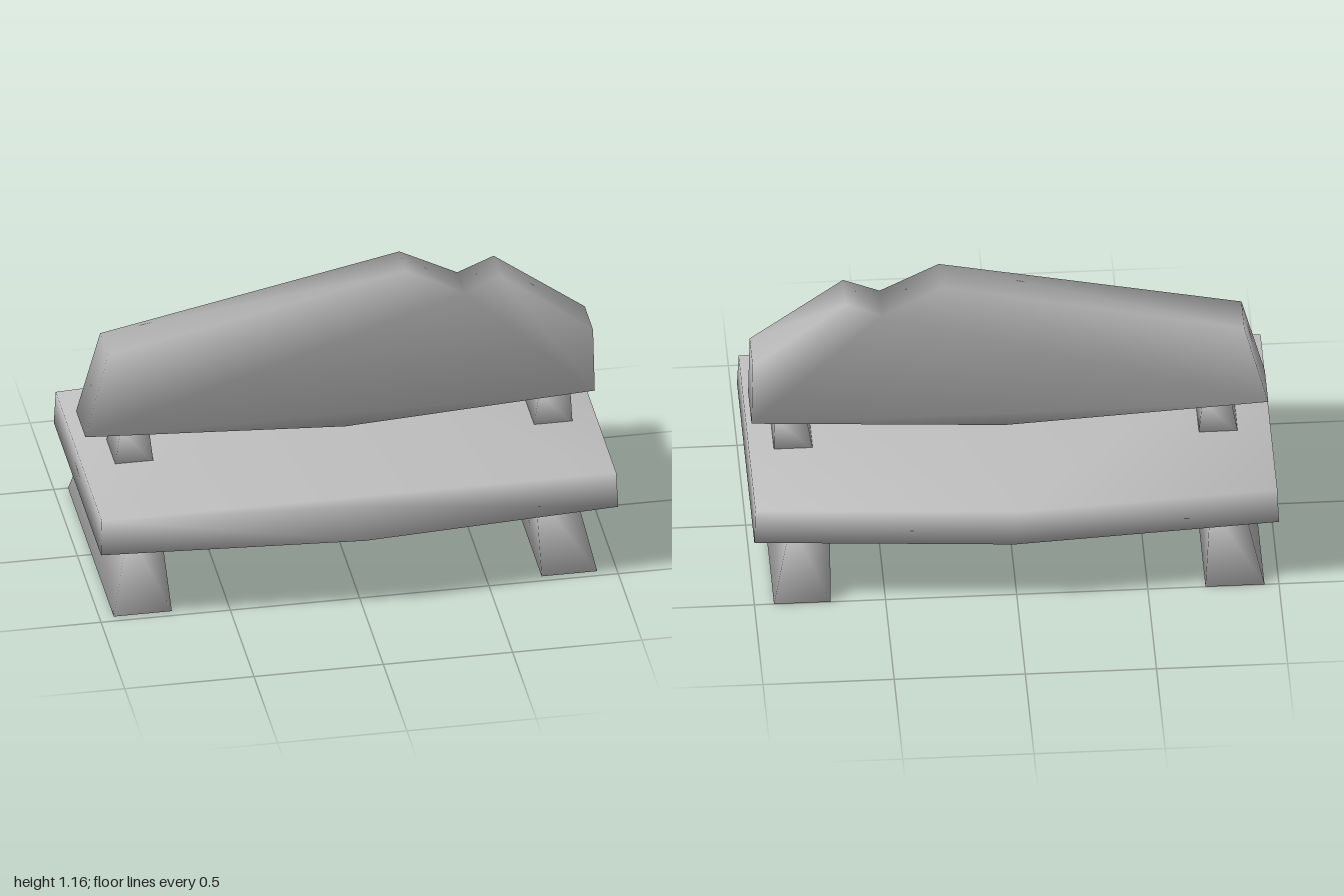
import * as THREE from 'three';
import { mergeVertices } from 'three/addons/utils/BufferGeometryUtils.js';

const stone = new THREE.MeshStandardMaterial({ color: 0xbfbfbf });
stone.name = 'grey stone';

// Extrudes an outline from 0 to 1, then moves every vertex by a rule;
// corners are shared so the shading rolls softly over the edges.
function softPrism(name, outline, rule) {
  const shape = new THREE.Shape(outline.map(([x, y]) => new THREE.Vector2(x, y)));
  let geo = new THREE.ExtrudeGeometry(shape, { depth: 1, bevelEnabled: false });
  geo.deleteAttribute('normal');
  geo.deleteAttribute('uv');
  geo = mergeVertices(geo);
  const p = geo.attributes.position;
  for (let i = 0; i < p.count; i++) p.setXYZ(i, ...rule(p.getX(i), p.getY(i), p.getZ(i)));
  geo.computeVertexNormals();
  const mesh = new THREE.Mesh(geo, stone);
  mesh.name = name;
  return mesh;
}

// Tapered block between two rectangles [x0, x1, z0, z1] at heights y0 and y1
function taperedBlock(name, y0, bottom, y1, top) {
  const mix = (i, j, u, t) => THREE.MathUtils.lerp(
    THREE.MathUtils.lerp(bottom[i], bottom[j], u),
    THREE.MathUtils.lerp(top[i], top[j], u), t);
  return softPrism(name, [[0, 0], [1, 0], [1, 1], [0, 1]],
    (u, v, t) => [mix(0, 1, u, t), y0 + (y1 - y0) * t, mix(2, 3, 1 - v, t)]);
}

export function createModel() {
  const bench = new THREE.Group();
  bench.name = 'stoneBench';

  // Seat: six-sided slab, slightly narrower at the top
  bench.add(softPrism('seat',
    [[-1, -0.5], [0.01, -0.575], [1, -0.5], [1, 0.5], [0.01, 0.575], [-1, 0.5]],
    (x, y, t) => [x * (1 - 0.005 * t), 0.297 + 0.143 * t, -y * (1 - 0.028 * t)]));

  // Backrest: broken slab outline that thins towards the top
  bench.add(softPrism('backrest',
    [[-0.985, 0.575], [0.02, 0.515], [0.985, 0.57], [0.98, 0.835], [0.625, 1.105],
      [0.485, 1.045], [0.26, 1.165], [-0.895, 0.92]],
    (x, y, t) => {
      const k = Math.max(0, (y - 0.57) / 0.595);
      return [x, y, t > 0.5 ? 0.086 - 0.022 * k : -0.111 + 0.028 * k];
    }));

  // Feet: long wedges under each end
  bench.add(taperedBlock('leftFoot', 0, [0.71, 0.925, -0.5, 0.467], 0.31, [0.705, 0.855, -0.4, 0.365]));
  bench.add(taperedBlock('rightFoot', 0, [-0.945, -0.72, -0.5, 0.467], 0.31, [-0.87, -0.745, -0.4, 0.365]));

  // Short posts carrying the backrest
  bench.add(taperedBlock('leftPost', 0.43, [0.75, 0.9, -0.107, 0.08], 0.567, [0.775, 0.895, -0.088, 0.062]));
  bench.add(taperedBlock('rightPost', 0.43, [-0.87, -0.72, -0.107, 0.08], 0.572, [-0.845, -0.735, -0.088, 0.062]));

  return bench;
}
